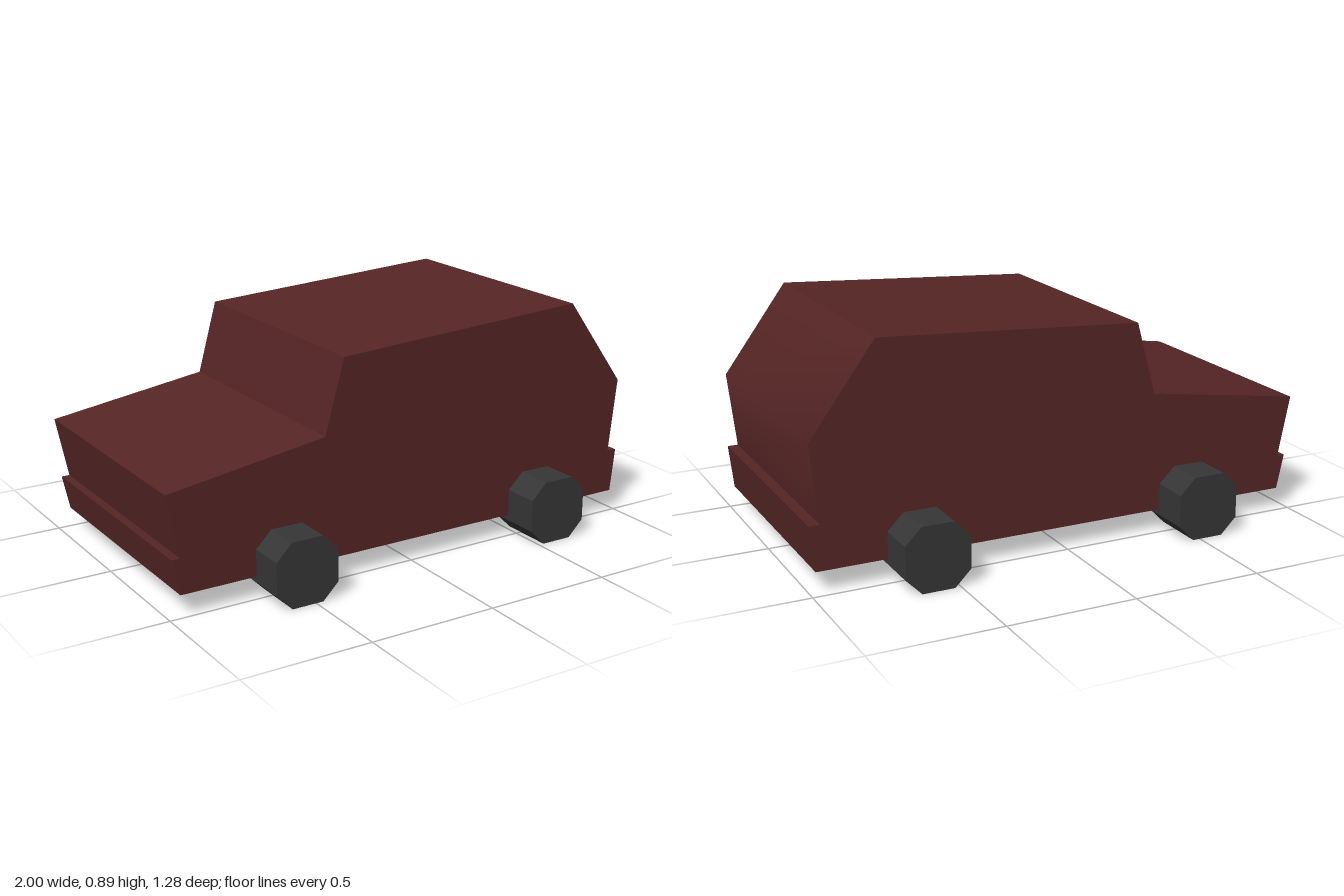
import * as THREE from 'three';
import { toCreasedNormals } from 'three/addons/utils/BufferGeometryUtils.js';

// Extrude a closed side profile from z0 to z1
function extrudeProfile(points, z0, z1) {
  const shape = new THREE.Shape(points.map(([x, y]) => new THREE.Vector2(x, y)));
  const geometry = new THREE.ExtrudeGeometry(shape, { depth: z1 - z0, bevelEnabled: false });
  return geometry.translate(0, 0, z0);
}

export function createModel() {
  const car = new THREE.Group();
  car.name = 'car';
  const paint = new THREE.MeshStandardMaterial({ color: 0x562525 });
  const rubber = new THREE.MeshStandardMaterial({ color: 0x363636, flatShading: true });

  // Body: one profile with bumpers, bonnet, windscreen, roof and sloping tailgate
  const profile = [
    [-0.955, 0.084], [0.979, 0.084], [0.998, 0.256], [0.957, 0.256],
    [0.99, 0.55], [0.738, 0.893], [-0.294, 0.833], [-0.372, 0.552],
    [-1, 0.458], [-0.952, 0.22], [-0.984, 0.22],
  ];
  // The tailgate's shallow bend is smooth, all other edges are sharp
  const bodyGeometry = toCreasedNormals(extrudeProfile(profile, -0.48, 0.495), THREE.MathUtils.degToRad(50));
  const body = new THREE.Mesh(bodyGeometry, paint);
  body.name = 'body';
  car.add(body);

  // Wheels: octagonal blocks with flats twice as long as the corner cuts
  const r = 0.125, h = r / 2;
  const octagon = [[-h, -r], [h, -r], [r, -h], [r, h], [h, r], [-h, r], [-r, h], [-r, -h]];
  const wheels = [
    ['frontLeftWheel', -0.533, 0.427, 0.64],
    ['frontRightWheel', -0.533, -0.63, -0.415],
    ['rearLeftWheel', 0.585, 0.427, 0.64],
    ['rearRightWheel', 0.585, -0.64, -0.415],
  ];
  for (const [name, x, z0, z1] of wheels) {
    const wheel = new THREE.Mesh(extrudeProfile(octagon, z0, z1), rubber);
    wheel.name = name;
    wheel.position.set(x, r, 0);
    car.add(wheel);
  }
  return car;
}
